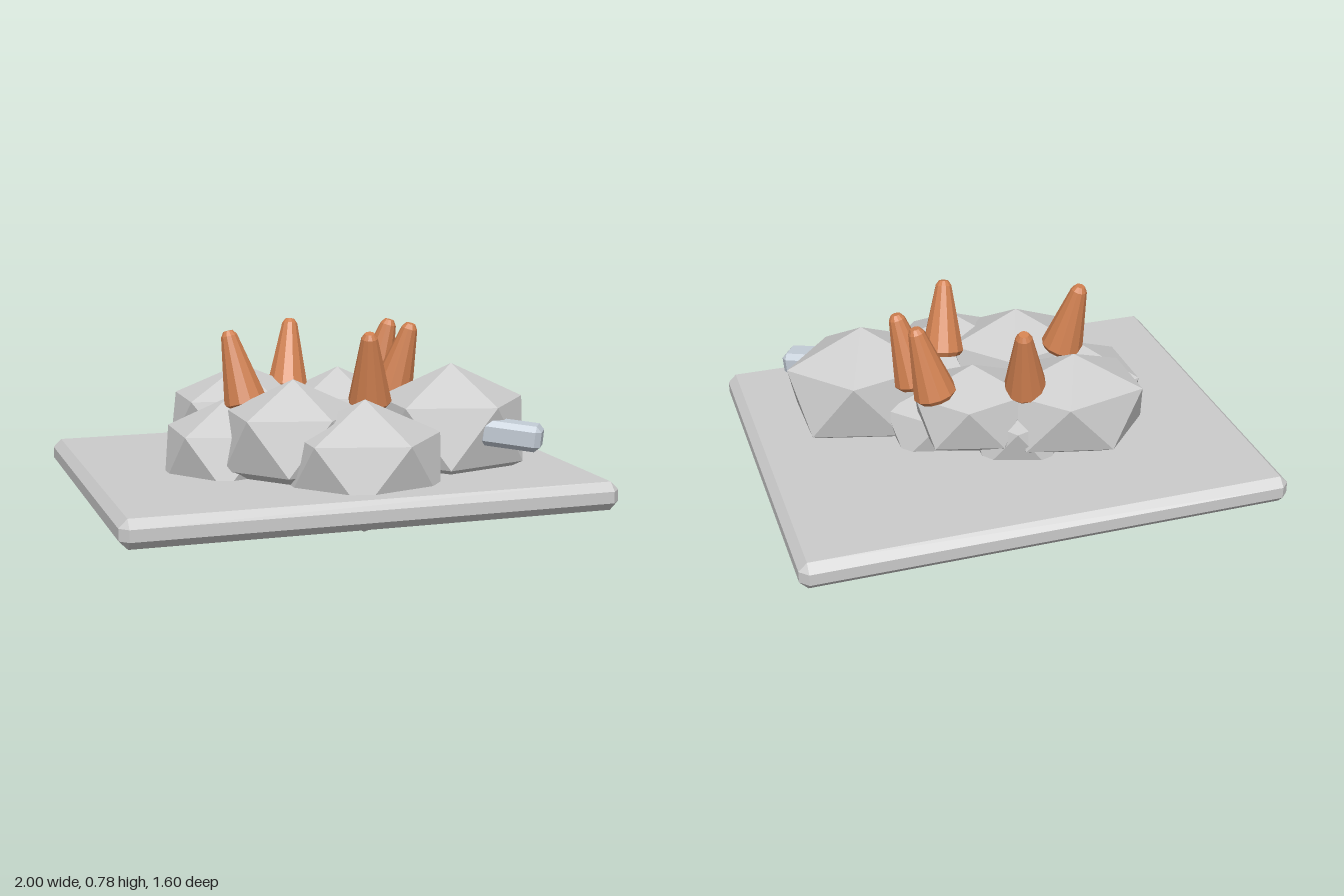
import * as THREE from 'three';
import { ConvexGeometry } from 'three/addons/geometries/ConvexGeometry.js';

const material = (color) => new THREE.MeshStandardMaterial({ color, flatShading: true });

// Box with every edge and corner chamfered by c
function chamferBox(w, h, d, c) {
  const points = [];
  for (const x of [-1, 1]) for (const y of [-1, 1]) for (const z of [-1, 1])
    for (let axis = 0; axis < 3; axis++) {
      const inset = [c, c, c];
      inset[axis] = 0;
      points.push(new THREE.Vector3(
        x * (w / 2 - inset[0]), y * (h / 2 - inset[1]), z * (d / 2 - inset[2])));
    }
  return new ConvexGeometry(points);
}

// Twenty-sided boulder standing on one corner
function boulderGeometry() {
  const points = [new THREE.Vector3(0, 1, 0), new THREE.Vector3(0, -1, 0)];
  const ring = 2 / Math.sqrt(5), level = 1 / Math.sqrt(5);
  for (let i = 0; i < 10; i++) {
    const a = i * Math.PI / 5;
    points.push(new THREE.Vector3(ring * Math.cos(a), i % 2 ? -level : level, ring * Math.sin(a)));
  }
  return new ConvexGeometry(points);
}

export function createModel() {
  const group = new THREE.Group();
  const grey = material(0xcccccc);
  const orange = material(0xd08050);
  const add = (name, geometry, mat, x, y, z) => {
    const mesh = new THREE.Mesh(geometry, mat);
    mesh.name = name;
    mesh.position.set(x, y, z);
    group.add(mesh);
    return mesh;
  };

  // Base slab
  add('baseSlab', chamferBox(2, 0.115, 1.6, 0.034), grey, 0, 0.158, 0);

  // Boulder heap: centre, then radii
  const boulder = boulderGeometry();
  const boulders = [
    [0.5, 0.36, 0.235, 0.36, 0.275, 0.3],
    [0.05, 0.272, 0.44, 0.36, 0.268, 0.3],
    [-0.19, 0.36, 0.26, 0.32, 0.245, 0.27],
    [-0.4, 0.275, 0.05, 0.305, 0.237, 0.29],
    [-0.28, 0.37, -0.21, 0.345, 0.235, 0.27],
    [0.13, 0.38, -0.135, 0.27, 0.205, 0.23],
    [0.21, 0.265, 0.01, 0.28, 0.193, 0.23],
    [-0.06, 0.265, -0.14, 0.24, 0.193, 0.25],
  ];
  boulders.forEach(([x, y, z, rx, ry, rz], i) =>
    add('boulder' + (i + 1), boulder, grey, x, y, z).scale.set(rx, ry, rz));

  // Leaning spikes with blunt tips: base x, z and tip x, z
  const profile = [[0, 0], [0.075, 0], [0.09, 0.02], [0.034, 0.295], [0.02, 0.315], [0, 0.315]]
    .map(([r, y]) => new THREE.Vector2(r, y));
  const spike = new THREE.LatheGeometry(profile, 12);
  const up = new THREE.Vector3(0, 1, 0);
  const spikes = [
    [-0.335, 0.085, -0.4, 0.04],
    [-0.07, -0.22, -0.03, -0.305],
    [0.16, 0.195, 0.125, 0.28],
    [0.29, -0.16, 0.365, -0.125],
    [0.335, -0.03, 0.405, 0.025],
  ];
  spikes.forEach(([x, z, tipX, tipZ], i) => {
    const lean = new THREE.Vector3(tipX - x, 0.31, tipZ - z).normalize();
    add('spike' + (i + 1), spike, orange, x, 0.475, z).quaternion.setFromUnitVectors(up, lean);
  });

  // Small chamfered block leaning out of the largest boulder
  const block = add('block', chamferBox(0.25, 0.105, 0.125, 0.022),
    material(0xc3ccd6), 0.66, 0.373, 0.49);
  block.rotation.set(0, -0.58, -0.09, 'YXZ');

  return group;
}
